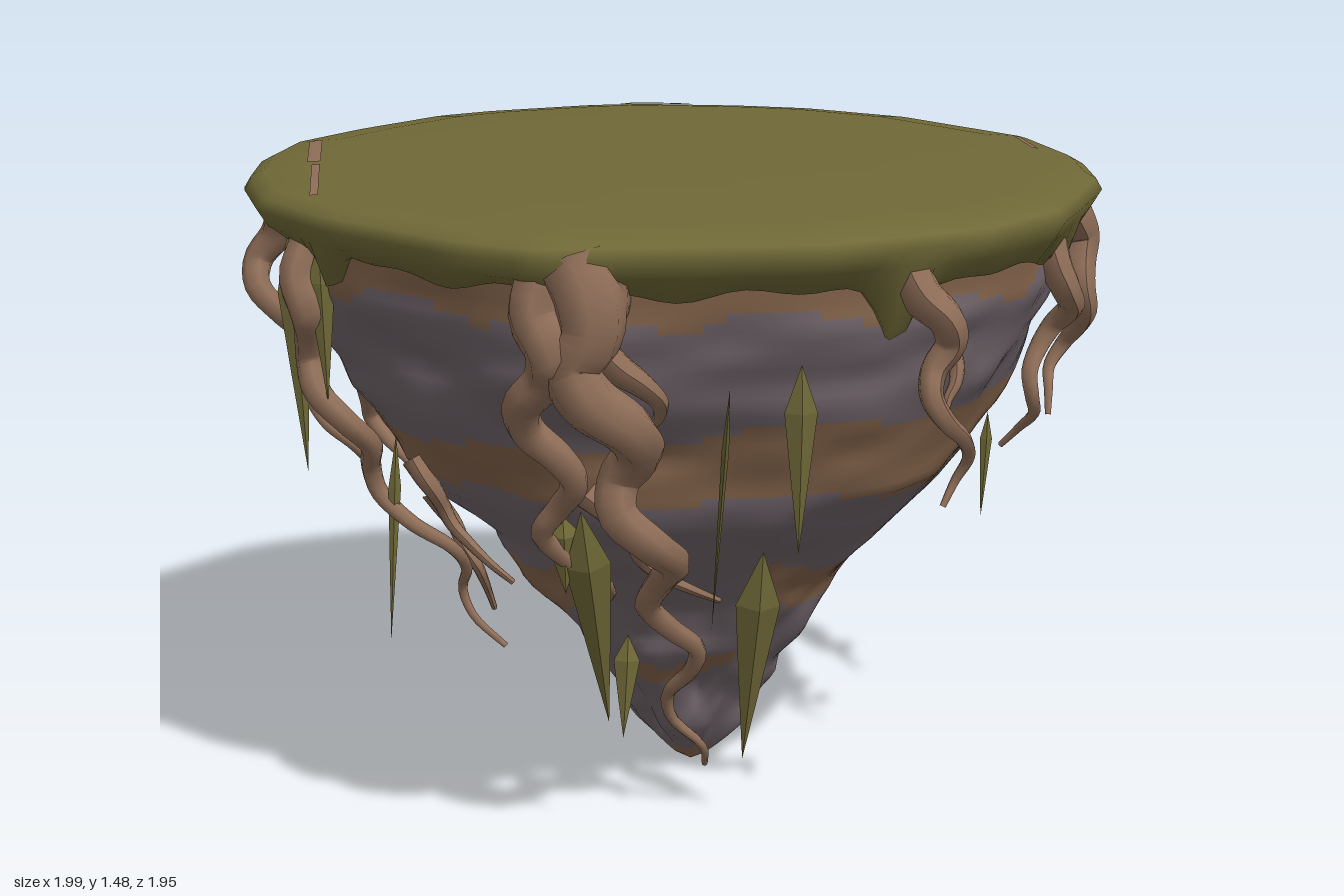
import * as THREE from 'three';

const mat = (name, color, side = THREE.DoubleSide) => {
  const m = new THREE.MeshStandardMaterial({ color, side });
  m.name = name;
  return m;
};
const polar = (t, r, y) => new THREE.Vector3(r * Math.sin(t), y, r * Math.cos(t));
const rad = THREE.MathUtils.degToRad;

// Plan outline of the island, x and z
const OUTLINE = [[-0.02, -0.98], [0.25, -0.92], [0.43, -0.85], [0.66, -0.67], [0.9, -0.31], [0.95, 0], [0.93, 0.22],
  [0.84, 0.42], [0.75, 0.61], [0.55, 0.8], [0.18, 0.94], [-0.4, 0.93], [-0.56, 0.82], [-0.82, 0.53], [-0.96, 0.28],
  [-1, 0], [-0.98, -0.22], [-0.92, -0.42], [-0.77, -0.61], [-0.56, -0.82], [-0.42, -0.89], [-0.15, -0.97]];

// Distance from the axis to the outline at an angle (0 = front, positive towards +x)
function outlineR(t) {
  const dx = Math.sin(t), dz = Math.cos(t);
  for (let i = 0; i < OUTLINE.length; i++) {
    const [ax, az] = OUTLINE[i], [bx, bz] = OUTLINE[(i + 1) % OUTLINE.length];
    const ex = bx - ax, ez = bz - az, det = dx * ez - dz * ex;
    const r = (ax * ez - az * ex) / det, s = (ax * dz - az * dx) / det;
    if (r > 0 && s >= -1e-6 && s <= 1 + 1e-6) return r;
  }
  return 0.95;
}

// Piecewise linear lookup in [key, value] pairs with rising keys
function lookup(table, k) {
  for (let i = 1; i < table.length; i++) {
    const [k0, v0] = table[i - 1], [k1, v1] = table[i];
    if (k <= k1) return v0 + (v1 - v0) * Math.max(0, (k - k0) / (k1 - k0));
  }
  return table[table.length - 1][1];
}

// Coarse lattice noise that gives chiselled lumps, -1 to 1
const hash = (a, b) => { const s = Math.sin(a * 127.1 + b * 311.7) * 43758.5453; return (s - Math.floor(s)) * 2 - 1; };
function lumps(t, y, n, rows) {
  const u = ((t / (Math.PI * 2) + 2) % 1) * n, v = y * rows;
  const i = Math.floor(u), j = Math.floor(v), f = u - i, g = v - j, k = (i + 1) % n;
  return (hash(i, j) * (1 - f) + hash(k, j) * f) * (1 - g) + (hash(i, j + 1) * (1 - f) + hash(k, j + 1) * f) * g;
}

// Rock radius by height, hollowed at the back below the rim
const PROFILE = [[0, 0], [0.02, 0.035], [0.06, 0.075], [0.12, 0.125], [0.2, 0.165], [0.4, 0.31], [0.6, 0.475],
  [0.78, 0.655], [0.82, 0.69], [0.95, 0.765], [1.1, 0.85], [1.25, 0.907], [1.42, 0.925]];
function rockR(t, y) {
  const fade = Math.max(0, Math.min(1, (1.42 - y) / 0.3)) * Math.min(1, y / 0.1);
  const blend = Math.min(1, y / 1.2);
  const base = (outlineR(t) * blend + 0.95 * (1 - blend)) * lookup(PROFILE, y);
  const hollow = 0.07 * Math.max(0, -Math.cos(t)) * Math.exp(-(((y - 1.06) / 0.16) ** 2));
  return base - hollow + fade * (0.034 * lumps(t, y, 14, 8) + 0.015 * lumps(t, y, 31, 17));
}

// Closed surface of rings; material index chosen per quad
function loft(rows, cols, at, pick = () => 0) {
  const pos = [], faces = [[], []];
  for (let i = 0; i <= rows; i++) for (let j = 0; j < cols; j++) pos.push(...at(i, (j / cols) * Math.PI * 2));
  for (let i = 0; i < rows; i++) for (let j = 0; j < cols; j++) {
    const k = (j + 1) % cols, a = i * cols + j, b = i * cols + k, c = a + cols, d = b + cols;
    faces[pick(i, ((j + 0.5) / cols) * Math.PI * 2)].push(a, c, b, b, c, d);
  }
  const g = new THREE.BufferGeometry();
  g.setAttribute('position', new THREE.Float32BufferAttribute(pos, 3));
  g.setIndex(faces.flat());
  g.addGroup(0, faces[0].length, 0);
  g.addGroup(faces[0].length, faces[1].length, 1);
  g.computeVertexNormals();
  return g;
}

// Earth bands across the rock
function isEarth(t, y) {
  const w = 0.02 * Math.sin(3 * t + 1) + 0.015 * Math.sin(7 * t);
  return y < 0.045 || y > 1.27 + 0.02 * Math.sin(13 * t) ||
    (y > 0.82 + w - 0.02 * Math.sin(t) && y < 0.97 + w + 0.04 * Math.sin(t + 0.3)) ||
    (Math.sin(2 * t - 1) > -0.5 && y > 0.48 + w && y < 0.59 + w) ||
    (Math.sin(3 * t + 2) > 0.1 && y > 0.27 + w && y < 0.33 + w);
}

// Turf section: scale of outline and height
const CAP = [[0, 1.478], [0.5, 1.476], [0.85, 1.468], [0.955, 1.456], [0.985, 1.44], [1, 1.415]];
const DRIP_ANGLES = [-0.37, 0.42, 1.15, 1.6, 2.5, 3.5, 3.9, 4.4, 5.2];
function hem(t) {
  let y = 1.34 - 0.02 * Math.cos(t - 1) + 0.01 * Math.sin(11 * t) + 0.008 * Math.sin(23 * t + 1);
  for (const c of DRIP_ANGLES) {
    const d = Math.atan2(Math.sin(t - c), Math.cos(t - c));
    y -= 0.1 * Math.exp(-((d / 0.055) ** 2));
  }
  return y;
}
function turfPoint(i, t) {
  const h = hem(t), n = CAP.length;
  if (i < n) return polar(t, outlineR(t) * CAP[i][0], CAP[i][1]);
  if (i === n) return polar(t, outlineR(t) * 0.975, 1.375);
  return i === n + 1 ? polar(t, rockR(t, h) + 0.018, h) : polar(t, rockR(t, h) - 0.02, h + 0.01);
}

// Tapered root that starts in the rim, winds down the rock and swings away towards its tip
function rootGeometry([angle, top, end, drift, hang, width], seed) {
  const len = top - end, knots = Math.ceil(len * 12) + 3, points = [];
  for (let k = 0; k <= knots; k++) {
    const s = k / knots, y = top - len * s, phase = len * s * 21 + seed * 2.4;
    const ease = Math.min(1, s * len * 7), t = rad(angle + drift * s);
    const r = rockR(t, y) + width * 0.75 * (1 - s) * ease + hang * s;
    const sway = 0.045 * ease;
    points.push(polar(t + sway * Math.sin(phase) / r, r + sway * 0.5 * Math.cos(phase), y));
  }
  const curve = new THREE.CatmullRomCurve3(points), n = knots * 4, sides = 7;
  const g = new THREE.TubeGeometry(curve, n, 1, sides), p = g.attributes.position, v = new THREE.Vector3();
  for (let i = 0; i <= n; i++) {
    const c = curve.getPointAt(i / n), w = width + (0.007 - width) * Math.pow(i / n, 0.7);
    for (let j = 0; j <= sides; j++) {
      const k = i * (sides + 1) + j;
      v.fromBufferAttribute(p, k).sub(c).multiplyScalar(w).add(c);
      p.setXYZ(k, v.x, v.y, v.z);
    }
  }
  g.computeVertexNormals();
  return g;
}

// Hanging grass blade: slim faceted spike
function bladeGeometry([angle, top, tip, hang, w]) {
  const t = rad(angle), a = polar(t, rockR(t, top) + 0.01, top), b = polar(t, rockR(t, tip) + 0.03 + hang, tip);
  const len = a.distanceTo(b);
  const profile = [[0, 0], [w * 0.55, len * 0.4], [w, len * 0.75], [0, len]].map((q) => new THREE.Vector2(...q));
  const g = new THREE.LatheGeometry(profile, 4).scale(1, 1, 0.6).toNonIndexed();
  g.computeVertexNormals();
  g.applyQuaternion(new THREE.Quaternion().setFromUnitVectors(new THREE.Vector3(0, 1, 0), a.sub(b).normalize()));
  return g.translate(b.x, b.y, b.z);
}

// Angle in degrees, top height, tip height, drift in degrees, swing at the tip, width
const ROOTS = [
  [-20, 1.4, 0.1, 17, 0.2, 0.085], [-17, 1.36, 1.02, 6, 0.03, 0.07], [-24, 1.36, 0.45, -4, 0.1, 0.065],
  [-23, 0.86, 0.56, 22, 0.08, 0.035], [-86, 1.37, 0.76, -5, 0.13, 0.045], [-70, 1.34, 0.38, 4, 0.18, 0.05],
  [-68, 0.84, 0.56, 10, 0.1, 0.03], [-76, 0.74, 0.42, 0, 0.14, 0.028], [-122, 1.38, 0.88, -6, 0.24, 0.065],
  [-100, 0.95, 0.66, -6, 0.08, 0.035], [26, 1.36, 0.83, 9, 0.19, 0.055], [34, 1.2, 1.04, 0, 0.12, 0.03],
  [63, 1.33, 0.82, 8, 0.1, 0.045], [88, 1.37, 0.84, 4, 0.2, 0.065], [178, 1.4, 0.98, 4, 0.12, 0.06],
  [169, 1.35, 0.86, 2, 0.16, 0.045], [-157, 1.36, 1.02, -2, 0.1, 0.045], [150, 0.98, 0.86, -2, 0.07, 0.025],
  [153, 0.97, 0.88, 5, 0.08, 0.022],
];
// Angle in degrees, top height, tip height, swing at the tip, width
const BLADES = [
  [11, 1.17, 0.76, 0.16, 0.035], [-24, 0.82, 0.28, 0.27, 0.05], [13, 0.68, 0.15, 0.26, 0.05], [-28, 0.8, 0.62, 0.16, 0.04],
  [1, 1.12, 0.5, 0.15, 0.008], [-68, 0.9, 0.42, 0.4, 0.014], [67, 0.92, 0.67, 0.18, 0.014], [-77, 1.36, 0.8, 0.2, 0.035],
  [-66, 1.36, 1, 0.08, 0.03], [157, 1.28, 0.9, 0.08, 0.065], [-147, 1.32, 1.06, 0.08, 0.04], [-28, 0.42, 0.18, 0.17, 0.03],
];
// Bare patches in the turf: x, z, width, depth, widening towards +z
const PATCHES = [[0.02, -0.9, 0.13, 0.14, 0.5], [-0.84, -0.18, 0.03, 0.34, 0], [-0.835, 0.2, 0.018, 0.34, 0],
  [0.835, -0.15, 0.014, 0.2, 0]];

export function createModel() {
  const rock = mat('greyRock', 0x72666c), earth = mat('brownEarth', 0x85654c);
  const turf = mat('mossGreen', 0x6f6837), bark = mat('rootBrown', 0x8f6e58, THREE.FrontSide);
  const group = new THREE.Group();
  const add = (name, geometry, material) => {
    const m = new THREE.Mesh(geometry, material);
    m.name = name;
    group.add(m);
  };

  // Hanging cone of rock
  const rows = 64, yAt = (i) => 1.42 * (1 - i / rows);
  add('rockCone', loft(rows, 110, (i, t) => {
    const p = polar(t, rockR(t, yAt(i)), yAt(i));
    p.x += 0.02 * (i / rows);
    return p;
  }, (i, t) => (isEarth(t, yAt(i + 0.5)) ? 1 : 0)), [rock, earth]);

  // Turf cap with drooping hem
  add('turfCap', loft(CAP.length + 2, 154, turfPoint), [turf]);

  ROOTS.forEach((root, i) => add('root', rootGeometry(root, i), bark));
  BLADES.forEach((blade) => add('grassBlade', bladeGeometry(blade), turf));

  // Patches follow the turf surface
  for (const [x, z, w, d, flare] of PATCHES) {
    const g = new THREE.PlaneGeometry(w, d, 4, 20).rotateX(-Math.PI / 2), p = g.attributes.position;
    for (let i = 0; i < p.count; i++) {
      const px = x + p.getX(i) * (1 + flare * p.getZ(i) / (d / 2)), pz = z + p.getZ(i);
      p.setXYZ(i, px, lookup(CAP, Math.hypot(px, pz) / outlineR(Math.atan2(px, pz))) + 0.004, pz);
    }
    g.computeVertexNormals();
    add('barePatch', g, bark);
  }

  // Loose slab sticking out at the back
  add('rockShard', new THREE.CircleGeometry(0.1, 3).rotateY(Math.PI * 0.8).translate(0.45, 1.24, -0.76), rock);
  return group;
}
